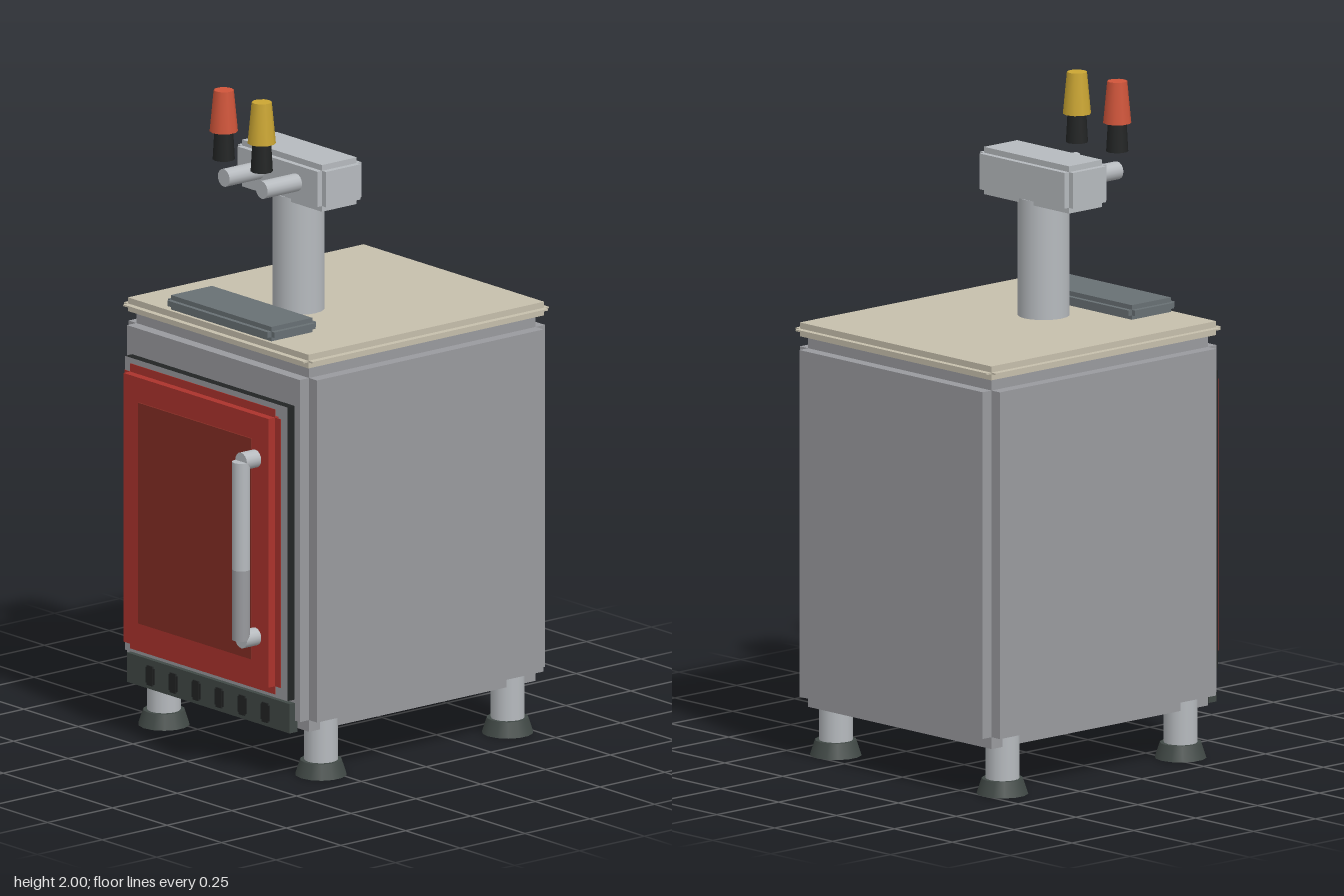
import * as THREE from 'three';

const paint = (name, color) => {
  const m = new THREE.MeshStandardMaterial({ color });
  m.name = name;
  return m;
};

export function createModel() {
  const model = new THREE.Group();
  model.name = 'drinkDispenser';

  const steel = paint('bodySteel', 0x999a9e);
  const bright = paint('brightSteel', 0xb6babe);
  const stone = paint('counterBeige', 0xc6bfac);
  const red = paint('doorRed', 0xab332c);
  const maroon = paint('panelMaroon', 0x842c24);
  const coral = paint('handleCoral', 0xd0553a);
  const gold = paint('handleGold', 0xcba633);
  const slate = paint('traySlate', 0x687074);
  const rubber = paint('rubberGrey', 0x414946);
  const black = paint('black', 0x222424);

  const add = (parent, name, geometry, material, x = 0, y = 0, z = 0) => {
    const mesh = new THREE.Mesh(geometry, material);
    mesh.name = name;
    mesh.position.set(x, y, z);
    parent.add(mesh);
    return mesh;
  };

  // Box given by its minimum and maximum corners
  const box = (name, a, b, material, parent = model) => add(parent, name,
    new THREE.BoxGeometry(b[0] - a[0], b[1] - a[1], b[2] - a[2]), material,
    (a[0] + b[0]) / 2, (a[1] + b[1]) / 2, (a[2] + b[2]) / 2);

  // Box with rebated edges: three boxes, each full length along one axis only
  const rebated = (name, a, b, inset, material) => {
    const group = new THREE.Group();
    group.name = name;
    for (let axis = 0; axis < 3; axis++) {
      const lo = a.map((v, i) => (i === axis ? v : v + inset));
      const hi = b.map((v, i) => (i === axis ? v : v - inset));
      box(name + 'XYZ'[axis], lo, hi, material, group);
    }
    model.add(group);
  };

  // Upright tapered cylinder starting at height y
  const post = (name, rTop, rBottom, y0, y1, sides, material, x, z) => add(model, name,
    new THREE.CylinderGeometry(rTop, rBottom, y1 - y0, sides), material, x, (y0 + y1) / 2, z);

  // Cylinder lying along z
  const spout = (name, r, z0, z1, material, x, y) => {
    const mesh = add(model, name, new THREE.CylinderGeometry(r, r, z1 - z0, 16),
      material, x, y, (z0 + z1) / 2);
    mesh.rotation.x = Math.PI / 2;
  };

  // Cabinet and worktop
  rebated('cabinet', [-0.432, 0.15, -0.546], [0.432, 1.27, 0.4], 0.036, steel);
  rebated('worktop', [-0.432, 1.27, -0.546], [0.432, 1.312, 0.4], 0.0185, stone);

  // Door seal with dark sides and a steel face, then the door and its panel
  box('doorSeal', [-0.372, 0.25, 0.395], [0.372, 1.15, 0.428],
    [black, black, black, black, steel, black]);
  rebated('door', [-0.357, 0.265, 0.415], [0.357, 1.138, 0.467], 0.025, red);
  box('doorPanel', [-0.259, 0.362, 0.464], [0.257, 1.038, 0.472], maroon);

  // Door handle: two-tone bar on two standoffs
  post('handleBarUpper', 0.027, 0.027, 0.65, 0.98, 16, bright, 0.272, 0.522);
  post('handleBarLower', 0.027, 0.027, 0.435, 0.65, 16, steel, 0.272, 0.522);
  for (const y of [0.435, 0.98]) spout('handleStandoff', 0.027, 0.465, 0.522, bright, 0.272, y);

  // Vent grille with six slots
  box('ventGrille', [-0.373, 0.15, 0.39], [0.373, 0.24, 0.42], rubber);
  for (let i = 0; i < 6; i++) {
    const x = (i - 2.5) * 0.1055;
    box('ventSlot', [x - 0.019, 0.168, 0.418], [x + 0.019, 0.216, 0.424], black);
    box('ventSlotCore', [x - 0.013, 0.162, 0.418], [x + 0.013, 0.222, 0.425], black);
  }

  // Legs and feet
  for (const x of [-0.36, 0.36]) {
    for (const z of [-0.432, 0.288]) {
      post('leg', 0.05, 0.05, 0.04, 0.19, 16, bright, x, z);
      post('foot', 0.062, 0.077, 0, 0.046, 14, rubber, x, z);
    }
  }

  // Drip tray, tower and tap head
  rebated('dripTray', [-0.244, 1.311, 0.198], [0.244, 1.356, 0.384], 0.014, slate);
  post('tower', 0.077, 0.077, 1.31, 1.67, 20, bright, 0, 0.071);
  rebated('tapHead', [-0.201, 1.657, -0.016], [0.201, 1.8, 0.153], 0.0175, bright);

  // Taps with coloured grips
  for (const [x, grip] of [[-0.088, coral], [0.086, gold]]) {
    spout('tapSpout', 0.027, 0.13, 0.286, bright, x, 1.73);
    post('tapCollar', 0.028, 0.033, 1.788, 1.876, 10, black, x, 0.286);
    post('tapGrip', 0.03, 0.042, 1.874, 2, 10, grip, x, 0.286);
  }

  return model;
}
